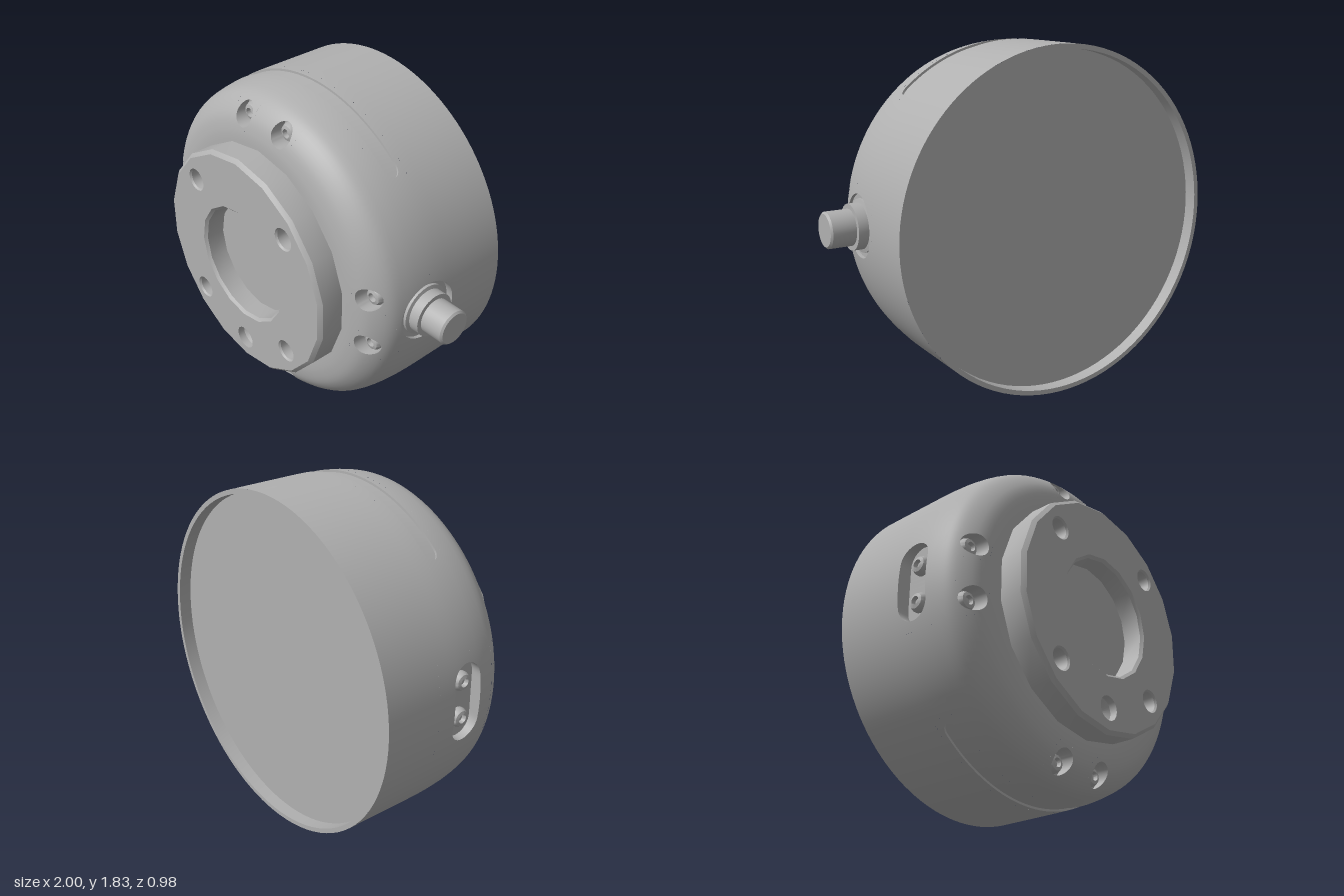
import * as THREE from 'three';
import { toCreasedNormals } from 'three/addons/utils/BufferGeometryUtils.js';

const R = 0.915, DEG = Math.PI / 180;
const metal = new THREE.MeshStandardMaterial({ color: 0xb0b0b0 });
metal.name = 'grey metal';

// Housing profile as (radius, z), from the back rim to the front face
const profile = new THREE.SplineCurve([
  [R, -0.49], [R, -0.2], [0.913, 0], [0.897, 0.15], [0.865, 0.245], [0.79, 0.315], [0.70, 0.342], [0.60, 0.345],
].map(([r, z]) => new THREE.Vector2(r, z)));

function solve(lo, test) {
  let hi = 1;
  for (let i = 0; i < 30; i++) {
    const mid = (lo + hi) / 2;
    if (test(profile.getPoint(mid))) lo = mid; else hi = mid;
  }
  return lo;
}
const tAtZ = (z) => solve(0, (p) => p.y < z);
const tAtR = (r) => solve(0.4, (p) => p.x > r);

function surfacePoint(a, t) {
  const p = profile.getPoint(t);
  return new THREE.Vector3(p.x * Math.cos(a), p.x * Math.sin(a), p.y);
}
function surfaceNormal(a, t) {
  const d = profile.getPoint(Math.min(1, t + 1e-3)).sub(profile.getPoint(Math.max(0, t - 1e-3))).normalize();
  return [d.y * Math.cos(a), d.y * Math.sin(a), -d.x];
}

// Counter-clockwise circle (L = 0) or stadium outline, starting at its +x tip
function outline(q, L = 0, m = 10, n = 1) {
  const top = [];
  const arc = (cx, from, start) => {
    for (let i = start; i <= m; i++) {
      const a = from + (i / m) * Math.PI / 2;
      top.push([cx + q * Math.cos(a), q * Math.sin(a)]);
    }
  };
  arc(L, 0, 0);
  for (let i = 1; i < n; i++) top.push([L - 2 * L * i / n, q]);
  arc(-L, Math.PI / 2, L ? 0 : 1);
  return top.concat(top.slice(1, -1).reverse().map(([x, y]) => [x, -y]));
}

// Openings in the housing: each owns a rectangle of the (angle, t) grid
const zRows = { port: [-0.17, 0.21].map(tAtZ), groove: [-0.05, 0.09].map(tAtZ) };
const rRows = [0.865, 0.71].map(tAtR);
const sideCut = (name, deg, half, rows, shape, floor) => ({
  name, ac: deg * DEG, half: half * DEG, rows, floor,
  pts: shape.map(([p, q]) => [deg * DEG + Math.asin(p / R), tAtZ(0.02 + q)]),
});
const shrink = (p) => {
  const k = 1 - 0.012 / Math.hypot(p.x, p.y);
  return new THREE.Vector3(p.x * k, p.y * k, p.z);
};
const cuts = [
  sideCut('topGroove', 90, 46.5, zRows.groove, outline(0.04, 0.6, 8, 40), shrink),
  sideCut('bottomGroove', 270, 46.5, zRows.groove, outline(0.04, 0.6, 8, 40), shrink),
  sideCut('connectorRecess', 0, 13.5, zRows.port, outline(0.167), (p) => new THREE.Vector3(0.875, p.y, p.z)),
  sideCut('sideSlot', 180, 16.5, zRows.port, outline(0.09, 0.12, 8, 10), (p) => new THREE.Vector3(-0.84, p.y, p.z)),
];
const screwAngles = [0, 90, 180, 270].flatMap((d) => [d - 10.5, d + 10.5]);
const screwR = 0.788;
for (const deg of screwAngles) {
  cuts.push({
    name: 'screwPocket', ac: deg * DEG, half: 6 * DEG, rows: rRows,
    floor: (p) => new THREE.Vector3(p.x, p.y, 0.24),
    pts: outline(0.062).map(([p, q]) =>
      [deg * DEG + Math.atan2(p, screwR - q), tAtR(Math.hypot(p, screwR - q))]),
  });
}

function housingGeometry() {
  const pos = [], nor = [], idx = [];
  const vert = (a, t) => {
    pos.push(...surfacePoint(a, t).toArray());
    nor.push(...surfaceNormal(a, t));
    return pos.length / 3 - 1;
  };
  const quad = (a, b, c, d) => idx.push(a, b, c, a, c, d);
  // Regular grid, leaving out the rectangles around openings
  const breaks = [0, zRows.port[0], zRows.groove[0], zRows.groove[1], zRows.port[1], rRows[0], rRows[1], 1];
  const steps = [3, 2, 2, 3, 3, 8, 4];
  const ts = [0];
  steps.forEach((n, b) => {
    for (let i = 1; i <= n; i++) ts.push(breaks[b] + (breaks[b + 1] - breaks[b]) * i / n);
  });
  const COLS = 120;
  const id = ts.map((t) => Array.from({ length: COLS + 1 }, (_, c) => vert((1.5 + 3 * c) * DEG, t)));
  for (let r = 0; r + 1 < ts.length; r++) for (let c = 0; c < COLS; c++) {
    const a = (3 + 3 * c) * DEG, t = (ts[r] + ts[r + 1]) / 2;
    const open = cuts.some((k) => Math.cos(a - k.ac) > Math.cos(k.half) && t > k.rows[0] && t < k.rows[1]);
    if (!open) quad(id[r][c], id[r][c + 1], id[r + 1][c + 1], id[r + 1][c]);
  }
  // Patch from each opening's outline out to its rectangle
  for (const k of cuts) {
    const tc = (k.rows[0] + k.rows[1]) / 2, th = (k.rows[1] - k.rows[0]) / 2;
    const edge = k.pts.map(([a, t]) => {
      const u = (a - k.ac) / k.half, v = (t - tc) / th, s = Math.max(Math.abs(u), Math.abs(v));
      return [u / s, v / s];
    });
    for (const [u, v] of [[1, 1], [-1, 1], [-1, -1], [1, -1]]) {
      const dist = edge.map((e) => Math.hypot(e[0] - u, e[1] - v));
      edge[dist.indexOf(Math.min(...dist))] = [u, v];
    }
    const rings = [0, 0.25, 0.5, 0.75, 1].map((f) => k.pts.map(([a, t], i) =>
      vert(a + (k.ac + edge[i][0] * k.half - a) * f, t + (tc + edge[i][1] * th - t) * f)));
    for (let j = 0; j < 4; j++) for (let i = 0; i < k.pts.length; i++) {
      const n = (i + 1) % k.pts.length;
      quad(rings[j][i], rings[j + 1][i], rings[j + 1][n], rings[j][n]);
    }
  }
  const g = new THREE.BufferGeometry();
  g.setAttribute('position', new THREE.Float32BufferAttribute(pos, 3));
  g.setAttribute('normal', new THREE.Float32BufferAttribute(nor, 3));
  g.setIndex(idx);
  return g;
}

// Walls and floor inside one opening
function pocketGeometry(k) {
  const top = k.pts.map(([a, t]) => surfacePoint(a, t)), low = top.map(k.floor), N = top.length;
  const pos = [];
  const quad = (a, b, c, d) => [a, b, c, a, c, d].forEach((p) => pos.push(p.x, p.y, p.z));
  for (let i = 0; i < N; i++) quad(top[i], top[(i + 1) % N], low[(i + 1) % N], low[i]);
  for (let i = 0; i < N / 2; i++) quad(low[i], low[i + 1], low[N - i - 1], low[(N - i) % N]);
  const g = new THREE.BufferGeometry();
  g.setAttribute('position', new THREE.Float32BufferAttribute(pos, 3));
  return toCreasedNormals(g, 0.6);
}

// Lathe about the z axis from (radius, z) points
function turned(points, sides) {
  const g = new THREE.LatheGeometry(points.map(([r, z]) => new THREE.Vector2(r, z)), sides);
  return toCreasedNormals(g.rotateX(Math.PI / 2), 0.6);
}

function polygon(target, r, sides, cx = 0, cy = 0) {
  target.setFromPoints(Array.from({ length: sides }, (_, i) => {
    const a = Math.PI / 2 + i / sides * Math.PI * 2;
    return new THREE.Vector2(cx + r * Math.cos(a), cy + r * Math.sin(a));
  }));
  return target;
}

export function createModel() {
  const model = new THREE.Group();
  model.name = 'flangedHousing';
  const add = (name, geometry, x = 0, y = 0, z = 0, turn = 0) => {
    const mesh = new THREE.Mesh(geometry, metal);
    mesh.name = name;
    mesh.position.set(x - 0.085, y + R, z);
    mesh.rotation.y = turn;
    model.add(mesh);
  };

  // Housing shell, its openings and the recessed back
  add('housing', housingGeometry());
  cuts.forEach((k) => add(k.name, pocketGeometry(k)));
  add('backPlate', turned([[0, -0.42], [0.89, -0.42], [0.89, -0.49], [R, -0.49]], 96));

  // Front flange with centre bore, four bolt holes and one drilled hole
  const face = polygon(new THREE.Shape(), 0.62, 18);
  face.holes.push(polygon(new THREE.Path(), 0.335, 16));
  const bolts = [[1, 1], [-1, 1], [-1, -1], [1, -1]].map(([x, y]) => [x * 0.36, y * 0.36]);
  for (const [x, y] of bolts) face.holes.push(polygon(new THREE.Path(), 0.063, 24, x, y));
  face.holes.push(polygon(new THREE.Path(), 0.065, 24, 0, -0.505));
  add('flangeFace', toCreasedNormals(new THREE.ExtrudeGeometry(face, { depth: 0.12, bevelEnabled: false }), 0.6), 0, 0, 0.37);
  add('flangeRim', turned([[0.64, 0.33], [0.64, 0.47], [0.62, 0.49]], 18));
  add('flangeFloor', new THREE.CircleGeometry(0.61, 36), 0, 0, 0.372);
  add('centreBore', turned([[0.335, 0.49], [0.32, 0.475], [0.32, 0.37]], 16));
  for (const [x, y] of bolts) add('boltHole', turned([[0.063, 0.49], [0.055, 0.48], [0.055, 0.37]], 24), x, y);
  add('drilledHole', turned([[0.065, 0.45], [0, 0.4]], 24), 0, -0.505);

  // Socket screws in the dome pockets and the side slot
  const screw = turned([[0.05, 0], [0.05, 0.018], [0.04, 0.037], [0.024, 0.042], [0.02, 0.02], [0, 0.02]], 18);
  for (const deg of screwAngles) {
    add('screw', screw, screwR * Math.cos(deg * DEG), screwR * Math.sin(deg * DEG), 0.24);
  }
  for (const y of [-0.1, 0.1]) add('slotScrew', screw, -0.84, y, 0.02, -Math.PI / 2);

  // Side connector: seat ring, collar and pin
  add('connector', turned([[0.14, 0.87], [0.14, 0.89], [0.12, 0.895], [0.12, 0.95], [0.095, 0.95],
    [0.095, 1.075], [0.085, 1.085], [0, 1.085]], 28), 0, 0, 0.02, Math.PI / 2);
  return model;
}
